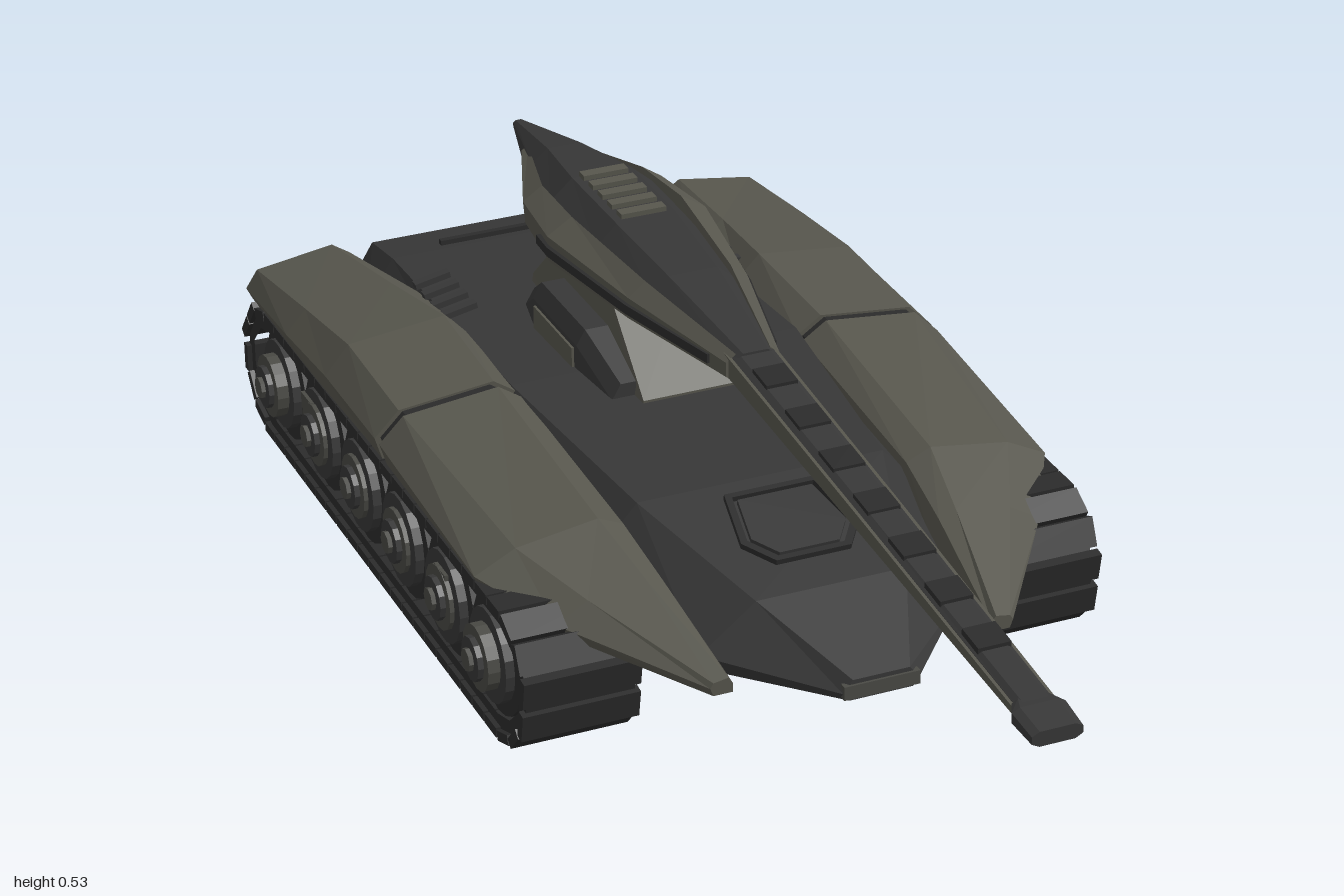
import * as THREE from 'three';

const mat = (name, color) => Object.assign(new THREE.MeshStandardMaterial({ color, flatShading: true }), { name });

// Flat-faced solid through cross-sections ordered back to front, each counterclockwise seen from the front
function loft(sections) {
  const pos = [];
  const tri = (a, b, c) => pos.push(...a, ...b, ...c);
  const n = sections[0].length;
  for (let s = 0; s < sections.length - 1; s++) {
    const p = sections[s], q = sections[s + 1];
    for (let i = 0; i < n; i++) {
      const j = (i + 1) % n;
      tri(p[i], p[j], q[j]);
      tri(p[i], q[j], q[i]);
    }
  }
  const centre = (s) => [0, 1, 2].map((k) => s.reduce((t, v) => t + v[k], 0) / n);
  const back = sections[0], front = sections[sections.length - 1];
  for (let i = 0; i < n; i++) {
    const j = (i + 1) % n;
    tri(centre(back), back[j], back[i]);
    tri(centre(front), front[i], front[j]);
  }
  const g = new THREE.BufferGeometry();
  g.setAttribute('position', new THREE.Float32BufferAttribute(pos, 3));
  g.computeVertexNormals();
  return g;
}

// Section from x,y pairs; sym() closes a right half with its mirror image
const sec = (z, pts) => pts.map(([x, y]) => [x, y, z]);
const sym = (z, half) => sec(z, [...half, ...half.map(([x, y]) => [-x, y]).reverse()]);
const flip = (sections) => sections.map((s) => s.map(([x, y, z]) => [-x, y, z]).reverse());
const shrink = (s, k) => {
  const cx = s.reduce((t, p) => t + p[0], 0) / s.length;
  const cy = s.reduce((t, p) => t + p[1], 0) / s.length;
  return s.map(([x, y, z]) => [cx + (x - cx) * k, cy + (y - cy) * k, z]);
};

export function createModel() {
  const root = new THREE.Group();
  root.name = 'hoverTurretTank';
  const armor = mat('armorGrey', 0x57564d);
  const dark = mat('hullCharcoal', 0x373737);
  const tread = mat('treadBlack', 0x2b2b2b);
  const steel = mat('wheelGrey', 0x4a4a45);

  const add = (name, geo, m, x = 0, y = 0, z = 0, parent = root) => {
    const mesh = new THREE.Mesh(geo, m);
    mesh.name = name;
    mesh.position.set(x, y, z);
    parent.add(mesh);
    return mesh;
  };
  const box = (name, w, h, d, m, x, y, z, parent) => add(name, new THREE.BoxGeometry(w, h, d), m, x, y, z, parent);
  const pair = (name, sections, m) => {
    add(name + 'Left', loft(sections), m);
    add(name + 'Right', loft(flip(sections)), m);
  };

  // Hull
  add('hull', loft([
    sym(-0.98, [[0.18, 0.17], [0.28, 0.20], [0.24, 0.265]]),
    sym(-0.88, [[0.28, 0.13], [0.285, 0.22], [0.24, 0.28]]),
    sym(-0.35, [[0.285, 0.13], [0.285, 0.22], [0.24, 0.30]]),
    sym(0.05, [[0.28, 0.13], [0.28, 0.20], [0.20, 0.288]]),
    sym(0.30, [[0.19, 0.135], [0.21, 0.165], [0.12, 0.235]]),
    sym(0.47, [[0.05, 0.145], [0.06, 0.158], [0.045, 0.178]]),
  ]), dark);
  box('noseSlot', 0.12, 0.022, 0.012, steel, 0, 0.16, 0.468);
  box('rearDeckSeam', 0.30, 0.008, 0.01, tread, 0, 0.283, -0.90);

  // Front hatch frame and lid
  const outline = (k) => [[-0.06, -0.08], [0.06, -0.08], [0.095, -0.03], [0.075, 0.08], [-0.075, 0.08], [-0.095, -0.03]]
    .map(([x, y]) => new THREE.Vector2(x * k, y * k));
  const frameShape = new THREE.Shape(outline(1));
  frameShape.holes.push(new THREE.Path(outline(0.88)));
  const hatch = new THREE.Group();
  hatch.name = 'frontHatch';
  hatch.position.set(0, 0.265, 0.16);
  hatch.rotation.x = 0.21;
  root.add(hatch);
  const slab = (shape, depth) => new THREE.ExtrudeGeometry(shape, { depth, bevelEnabled: false }).rotateX(-Math.PI / 2);
  add('hatchFrame', slab(frameShape, 0.009), tread, 0, 0, 0, hatch);
  add('hatchLid', slab(new THREE.Shape(outline(0.8)), 0.008), dark, 0, 0, 0, hatch);

  // Fenders, split by a recessed seam
  const seam = (z) => sec(z, [[0.24, 0.21], [0.455, 0.215], [0.47, 0.265], [0.43, 0.305], [0.275, 0.322], [0.235, 0.295]]);
  const rearFender = [
    sec(-0.98, [[0.28, 0.20], [0.45, 0.205], [0.46, 0.225], [0.44, 0.255], [0.31, 0.275], [0.28, 0.255]]),
    sec(-0.75, [[0.25, 0.21], [0.46, 0.215], [0.47, 0.25], [0.435, 0.288], [0.29, 0.305], [0.245, 0.28]]),
    sec(-0.56, [[0.24, 0.21], [0.46, 0.215], [0.47, 0.265], [0.43, 0.312], [0.27, 0.33], [0.235, 0.295]]),
    seam(-0.335),
  ];
  const frontFender = [
    seam(-0.315),
    sec(0.07, [[0.235, 0.19], [0.455, 0.205], [0.465, 0.235], [0.40, 0.268], [0.27, 0.288], [0.23, 0.27]]),
    sec(0.20, [[0.22, 0.175], [0.38, 0.185], [0.39, 0.205], [0.34, 0.235], [0.25, 0.25], [0.222, 0.24]]),
    sec(0.41, [[0.205, 0.165], [0.235, 0.165], [0.24, 0.178], [0.235, 0.186], [0.212, 0.19], [0.205, 0.18]]),
  ];
  pair('rearFender', rearFender, armor);
  pair('frontFender', frontFender, armor);
  pair('fenderSeam', [shrink(seam(-0.34), 0.92), shrink(seam(-0.31), 0.92)], tread);

  // Track outline in z,y
  const trackPts = [[0.25, 0.13], [0.24, 0.075], [0.20, 0.032], [0.15, 0.014], [-0.88, 0.014], [-0.94, 0.032],
    [-0.985, 0.09], [-0.985, 0.145], [-0.945, 0.195], [-0.88, 0.215], [0.17, 0.215], [0.225, 0.185]]
    .map(([z, y]) => new THREE.Vector2(z, y));
  const inner = trackPts.map((p) => new THREE.Vector2(-0.367 + (p.x + 0.367) * 0.96, 0.115 + (p.y - 0.115) * 0.8));
  const beltShape = new THREE.Shape(trackPts);
  beltShape.holes.push(new THREE.Path(inner));
  // Extrudes along x from x0
  const side = (shape, depth) => new THREE.ExtrudeGeometry(shape, { depth, bevelEnabled: false }).rotateY(-Math.PI / 2).translate(depth, 0, 0);
  const beltGeo = side(beltShape, 0.17);
  const coreGeo = side(new THREE.Shape(inner), 0.13);
  const padGeo = new THREE.BoxGeometry(0.184, 0.016, 0.046);
  const disc = (r, w, n) => new THREE.CylinderGeometry(r, r, w, n).rotateZ(Math.PI / 2);
  const guardGeo = disc(0.096, 0.02, 20), rimGeo = disc(0.074, 0.022, 18);
  const dishGeo = disc(0.052, 0.02, 16), hubGeo = disc(0.035, 0.03, 12), capGeo = disc(0.018, 0.012, 8);
  const path = new THREE.Shape(trackPts).closePath();
  const padCount = 54;

  for (const s of [1, -1]) {
    const track = new THREE.Group();
    track.name = s > 0 ? 'trackLeft' : 'trackRight';
    root.add(track);
    add('belt', beltGeo, tread, s > 0 ? 0.287 : -0.457, 0, 0, track);
    add('trackCore', coreGeo, tread, s > 0 ? 0.295 : -0.425, 0, 0, track);
    for (let i = 0; i < padCount; i++) {
      const p = path.getPointAt(i / padCount), t = path.getTangentAt(i / padCount);
      const pad = add('trackPad', padGeo, tread, s * 0.373, p.y - 0.005 * Math.sign(0.115 - p.y), p.x, track);
      pad.rotation.x = -Math.atan2(t.y, t.x);
    }
    // Road wheels, the end ones with longer hubs
    for (let i = 0; i < 6; i++) {
      const z = 0.10 - i * 0.187, out = i === 0 || i === 5 ? 0.012 : 0;
      add('wheelGuard', guardGeo, tread, s * 0.435, 0.118, z, track);
      add('wheelRim', rimGeo, dark, s * 0.448, 0.118, z, track);
      add('wheelDish', dishGeo, steel, s * (0.456 + out), 0.118, z, track);
      add('wheelHub', hubGeo, dark, s * (0.460 + out), 0.118, z, track);
      add('hubCap', capGeo, steel, s * (0.476 + out), 0.118, z, track);
    }
    for (const z of [-0.08, -0.68]) box('trackBracket', 0.03, 0.028, 0.045, steel, s * 0.45, 0.155, z, track);

    // Exhaust fins on the deck
    for (let i = 0; i < 4; i++) {
      box('exhaustFin', 0.06, 0.01, 0.016, dark, s * 0.228, 0.308, -0.61 - i * 0.04).rotation.z = s * -0.2;
    }
  }

  // Turret neck with side blocks
  add('turretNeck', loft([
    sym(-0.70, [[0.07, 0.27], [0.065, 0.30]]),
    sym(-0.58, [[0.08, 0.27], [0.06, 0.415]]),
    sym(-0.38, [[0.085, 0.27], [0.065, 0.415]]),
    sym(-0.22, [[0.08, 0.27], [0.075, 0.30]]),
  ]), armor);
  box('neckSlot', 0.08, 0.018, 0.03, tread, 0, 0.378, -0.345);
  const block = (z, h, o) => sec(z, [[0.075, 0.28], [o, 0.28], [o, h - 0.025], [o - 0.015, h], [0.075, h]]);
  pair('neckBlock', [block(-0.62, 0.315, 0.11), block(-0.54, 0.365, 0.128), block(-0.36, 0.365, 0.128), block(-0.25, 0.32, 0.115)], dark);
  for (const s of [1, -1]) box('neckBlockPlate', 0.008, 0.04, 0.16, armor, s * 0.128, 0.312, -0.45);

  // Turret body
  add('turretBody', loft([
    sym(-0.92, [[0.005, 0.452], [0.009, 0.457], [0.009, 0.463], [0.005, 0.467]]),
    sym(-0.72, [[0.03, 0.422], [0.06, 0.445], [0.055, 0.482], [0.028, 0.505]]),
    sym(-0.56, [[0.04, 0.402], [0.09, 0.44], [0.088, 0.492], [0.05, 0.525]]),
    sym(-0.38, [[0.04, 0.402], [0.09, 0.44], [0.085, 0.492], [0.05, 0.525]]),
    sym(-0.20, [[0.035, 0.415], [0.075, 0.445], [0.07, 0.488], [0.04, 0.514]]),
    sym(0.03, [[0.025, 0.435], [0.036, 0.447], [0.036, 0.474], [0.02, 0.487]]),
  ]), dark);
  // Side armour with a dark slot along its outer face
  const pod = [
    sec(-0.80, [[0.03, 0.45], [0.042, 0.453], [0.042, 0.47], [0.03, 0.476]]),
    sec(-0.60, [[0.07, 0.422], [0.115, 0.443], [0.118, 0.48], [0.085, 0.502]]),
    sec(-0.46, [[0.07, 0.412], [0.13, 0.44], [0.133, 0.484], [0.092, 0.51]]),
    sec(-0.22, [[0.055, 0.42], [0.098, 0.446], [0.098, 0.48], [0.07, 0.503]]),
    sec(0.02, [[0.03, 0.438], [0.043, 0.449], [0.043, 0.472], [0.028, 0.484]]),
  ];
  pair('turretSideArmor', pod, armor);
  const slot = (z, x) => sec(z, [[x - 0.01, 0.455], [x + 0.006, 0.455], [x + 0.006, 0.47], [x - 0.01, 0.47]]);
  pair('turretSlot', [slot(-0.50, 0.13), slot(-0.45, 0.132), slot(-0.22, 0.098), slot(-0.02, 0.05)], tread);
  for (let i = 0; i < 5; i++) box('turretLouver', 0.075, 0.012, 0.02, armor, 0, 0.527, -0.40 - i * 0.038);

  // Gun barrel with pale side strips, top bands and muzzle
  const bar = (z, w, lo, hi) => sym(z, [[w * 0.7, lo], [w, lo + 0.006], [w, hi - 0.006], [w * 0.7, hi]]);
  add('barrel', loft([bar(-0.02, 0.034, 0.438, 0.488), bar(0.45, 0.031, 0.407, 0.444), bar(0.95, 0.027, 0.371, 0.394)]), dark);
  const strip = (z, x, lo, hi) => sec(z, [[x, lo], [x + 0.006, lo], [x + 0.006, hi], [x, hi]]);
  pair('barrelStrip', [strip(0.0, 0.033, 0.447, 0.48), strip(0.45, 0.03, 0.414, 0.438), strip(0.93, 0.026, 0.378, 0.389)], armor);
  for (let i = 0; i < 7; i++) {
    const z = 0.10 + i * 0.115;
    box('barrelBand', 0.05, 0.01, 0.05, tread, 0, 0.487 - 0.0965 * z, z).rotation.x = 0.096;
  }
  add('muzzle', loft([bar(0.925, 0.03, 0.37, 0.396), bar(0.945, 0.04, 0.368, 0.395), bar(1.0, 0.038, 0.365, 0.388)]), dark);

  return root;
}
